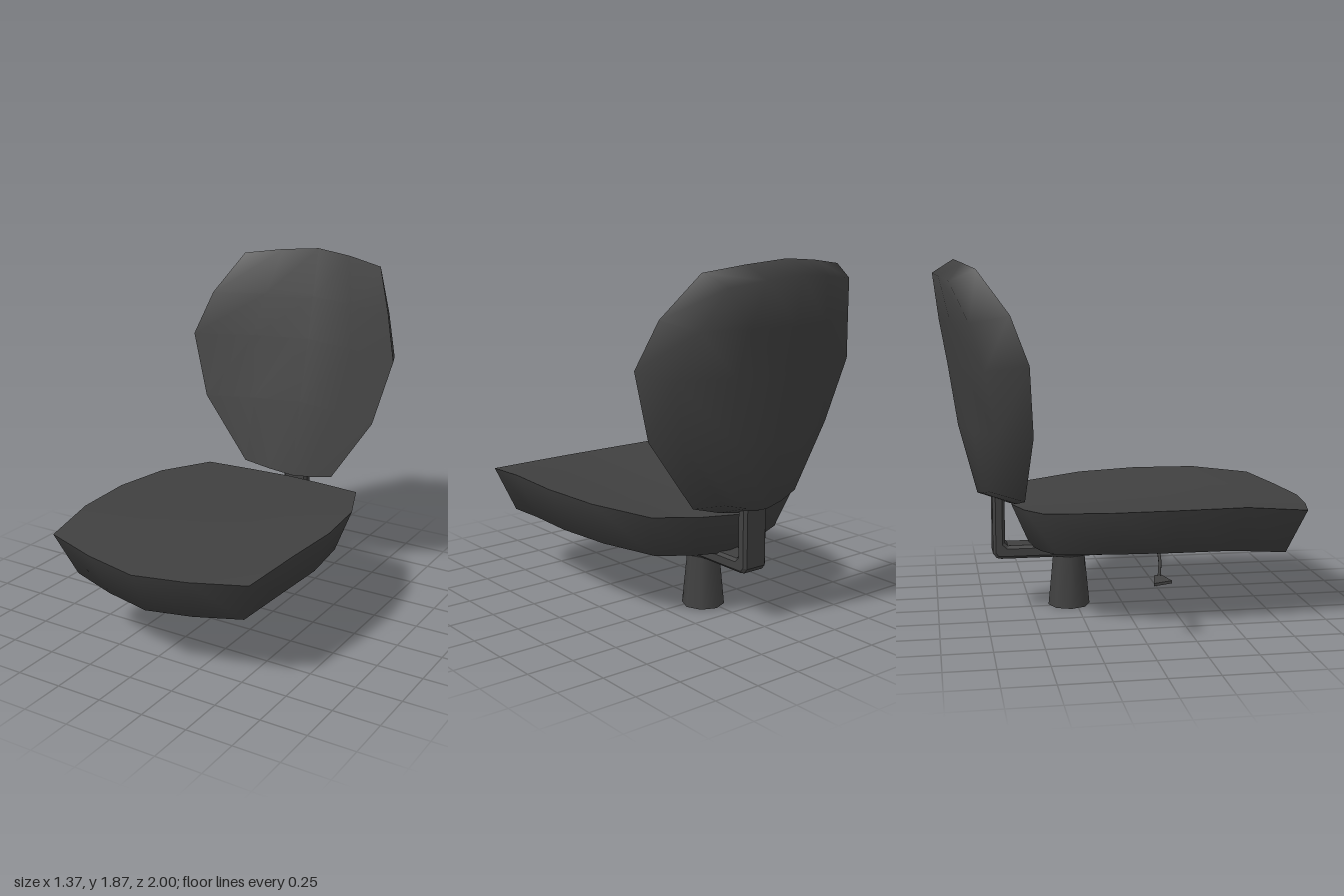
import * as THREE from 'three';

const COLS = [-1, -0.5, 0, 0.5, 1];

// Each row is [half width, edge y, edge z, middle y, middle z]; the row bows between its edges and middle.
function gridPoints(rows) {
  return rows.flatMap(([w, ye, ze, ym, zm]) => COLS.map((u) => {
    const t = Math.pow(Math.abs(u), 1.4);
    return [u * w, ym + (ye - ym) * t, zm + (ze - zm) * t];
  }));
}

function gridFaces(rowCount, offset, flip) {
  const index = [], n = COLS.length;
  for (let i = 0; i < rowCount - 1; i++) {
    for (let j = 0; j < n - 1; j++) {
      const a = offset + i * n + j, b = a + n, c = a + 1, d = b + 1;
      if (flip) index.push(a, c, b, c, d, b);
      else index.push(a, b, c, c, b, d);
    }
  }
  return index;
}

function indexed(points, index) {
  const g = new THREE.BufferGeometry();
  g.setAttribute('position', new THREE.Float32BufferAttribute(points.flat(), 3));
  g.setIndex(index);
  g.computeVertexNormals();
  return g;
}

// A cushion: a smooth shell (sides and underside) with a crisp-edged face panel.
function cushion(name, faceRows, shellRows, material) {
  const face = gridPoints(faceRows), shell = gridPoints(shellRows);
  const n = COLS.length, m = faceRows.length, total = m * n;

  const loop = [];
  for (let j = 0; j < n - 1; j++) loop.push(j);
  for (let i = 0; i < m - 1; i++) loop.push(i * n + n - 1);
  for (let j = n - 1; j > 0; j--) loop.push((m - 1) * n + j);
  for (let i = m - 1; i > 0; i--) loop.push(i * n);

  const shellIndex = gridFaces(m, total, true);
  loop.forEach((a, k) => {
    const b = loop[(k + 1) % loop.length];
    shellIndex.push(a, b, a + total, b, b + total, a + total);
  });

  const group = new THREE.Group();
  group.name = name;
  const panel = new THREE.Mesh(indexed(face, gridFaces(m, 0, false)), material);
  panel.name = name + 'Panel';
  const body = new THREE.Mesh(indexed([...face, ...shell], shellIndex), material);
  body.name = name + 'Shell';
  group.add(panel, body);
  return group;
}

export function createModel() {
  const charcoal = new THREE.MeshStandardMaterial({ color: 0x404040 });
  charcoal.name = 'charcoal';

  const model = new THREE.Group();
  model.name = 'officeChair';
  const chair = new THREE.Group();
  chair.name = 'chair';
  chair.position.x = 0.025;
  model.add(chair);

  const add = (name, geometry, parent = chair) => {
    const mesh = new THREE.Mesh(geometry, charcoal);
    mesh.name = name;
    parent.add(mesh);
    return mesh;
  };

  // Seat, rows from back to front
  chair.add(cushion('seat', [
    [0.485, 0.605, -0.47, 0.565, -0.60],
    [0.615, 0.625, -0.15, 0.580, -0.15],
    [0.655, 0.635, 0.19, 0.585, 0.19],
    [0.635, 0.635, 0.54, 0.585, 0.54],
    [0.585, 0.600, 0.87, 0.565, 1.00],
  ], [
    [0.41, 0.375, -0.40, 0.335, -0.50],
    [0.53, 0.395, -0.13, 0.350, -0.13],
    [0.57, 0.400, 0.18, 0.360, 0.18],
    [0.55, 0.395, 0.48, 0.355, 0.48],
    [0.505, 0.365, 0.78, 0.330, 0.89],
  ], charcoal));

  // Backrest, rows from top to bottom
  chair.add(cushion('backrest', [
    [0.435, 1.82, -0.79, 1.87, -0.885],
    [0.56, 1.60, -0.635, 1.60, -0.825],
    [0.64, 1.36, -0.55, 1.36, -0.775],
    [0.54, 1.00, -0.525, 1.00, -0.69],
    [0.285, 0.63, -0.55, 0.57, -0.605],
  ], [
    [0.385, 1.76, -0.92, 1.80, -0.995],
    [0.48, 1.56, -0.83, 1.56, -0.965],
    [0.555, 1.33, -0.76, 1.33, -0.925],
    [0.47, 1.00, -0.70, 1.00, -0.875],
    [0.235, 0.68, -0.73, 0.635, -0.78],
  ], charcoal));

  // L-shaped bracket joining seat and backrest, drawn as (z, y)
  const profile = new THREE.Shape([
    [-0.06, 0.28], [-0.06, 0.35], [-0.625, 0.35], [-0.64, 0.365], [-0.64, 0.64],
    [-0.705, 0.64], [-0.705, 0.31], [-0.685, 0.285], [-0.66, 0.28],
  ].map(([z, y]) => new THREE.Vector2(z, y)));
  const bracket = new THREE.ExtrudeGeometry(profile, {
    depth: 0.12, bevelEnabled: true, bevelThickness: 0.015, bevelSize: 0.015,
    bevelOffset: -0.015, bevelSegments: 1,
  });
  bracket.translate(0, 0, -0.06);
  bracket.rotateY(-Math.PI / 2);
  add('bracket', bracket);

  // Tapered eight-sided pedestal
  add('pedestal', new THREE.CylinderGeometry(0.086, 0.113, 0.28, 8)).position.set(0, 0.14, -0.29);

  // Height lever: thin rod and flared paddle on the right
  const lever = new THREE.Group();
  lever.name = 'heightLever';
  chair.add(lever);
  const path = new THREE.CatmullRomCurve3([
    new THREE.Vector3(-0.02, 0.33, 0.19),
    new THREE.Vector3(-0.33, 0.31, 0.15),
    new THREE.Vector3(-0.59, 0.288, 0.095),
  ]);
  add('leverRod', new THREE.TubeGeometry(path, 8, 0.009, 6), lever);
  const paddle = new THREE.BoxGeometry(0.14, 0.014, 0.09);
  const p = paddle.attributes.position;
  for (let i = 0; i < p.count; i++) {
    if (p.getX(i) > 0) p.setZ(i, p.getZ(i) * 0.4);
    p.setY(i, p.getY(i) + p.getZ(i) * 0.12);
  }
  paddle.computeVertexNormals();
  add('leverPaddle', paddle, lever).position.set(-0.64, 0.284, 0.09);

  return model;
}
